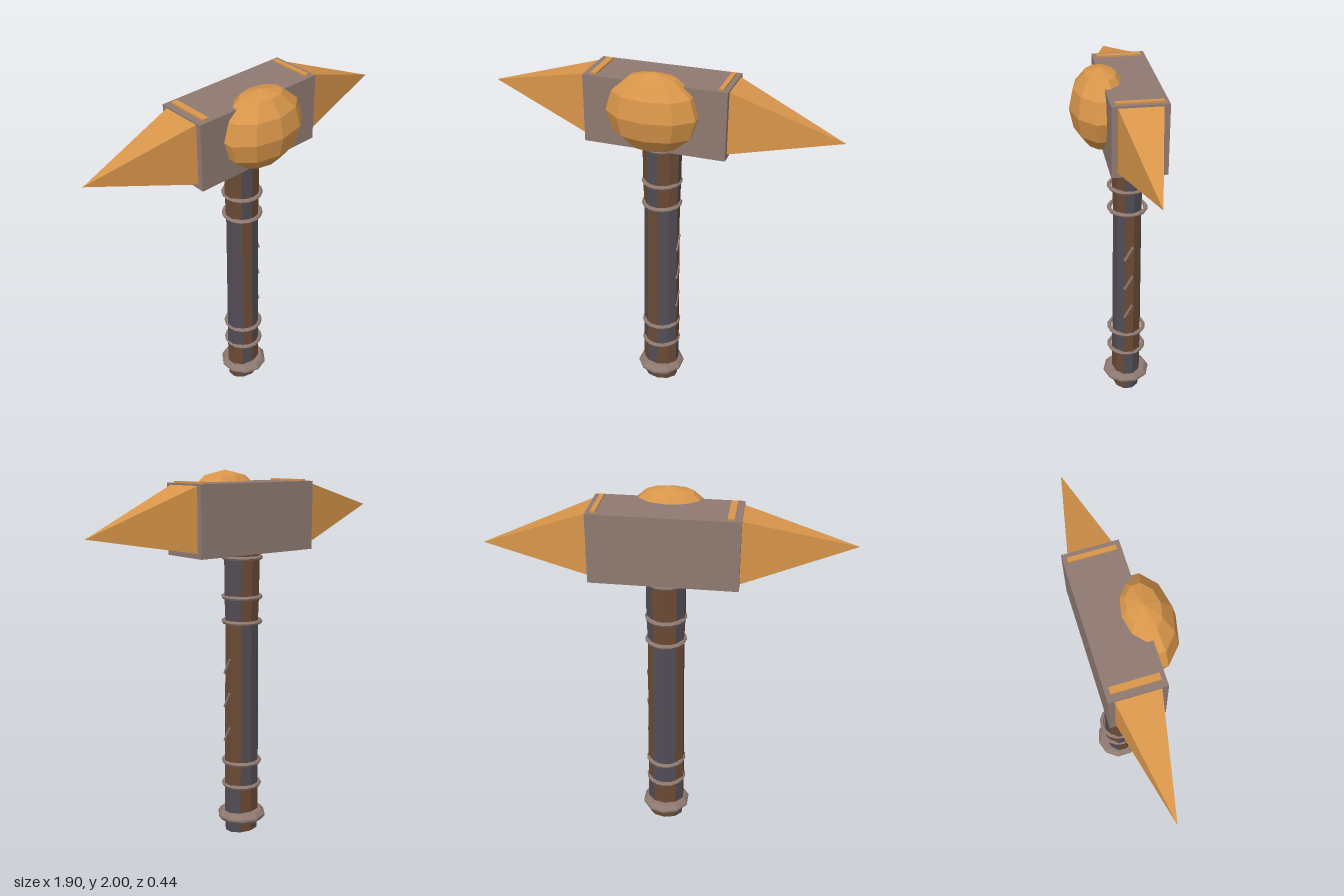
import * as THREE from 'three';

const mat = (name, color) => {
  const m = new THREE.MeshStandardMaterial({ color, flatShading: true });
  m.name = name;
  return m;
};

// Unindexed triangles from a list of points, three per face
function fromPoints(points) {
  const g = new THREE.BufferGeometry();
  g.setAttribute('position', new THREE.Float32BufferAttribute(points.flat(), 3));
  g.computeVertexNormals();
  return g;
}

export function createModel() {
  const gold = mat('amber', 0xd9964a);
  const stone = mat('greyBrown', 0x8f7a71);
  const brown = mat('brownWood', 0x6b4a35);
  const slate = mat('slateWood', 0x524d55);
  const Z = -0.083; // depth of the handle axis
  const model = new THREE.Group();
  model.name = 'hammer';

  const add = (name, geometry, material, x = 0, y = 0, z = 0) => {
    const mesh = new THREE.Mesh(geometry, material);
    mesh.name = name;
    mesh.position.set(x, y, z);
    model.add(mesh);
    return mesh;
  };

  // Head block
  add('headBlock', new THREE.BoxGeometry(0.76, 0.365, 0.28), stone, 0, 1.7575, -0.082);

  // Four-sided spikes, each with its own tip height
  for (const [side, tipY] of [[1, 1.7], [-1, 1.79]]) {
    const x = side * 0.375;
    const tip = [side * 0.95, tipY, -0.082];
    const base = [[x, 1.6, 0.028], [x, 1.6, -0.192], [x, 1.933, -0.192], [x, 1.933, 0.028]];
    const pts = [];
    base.forEach((p, i) => {
      const q = base[(i + 1) % 4];
      pts.push(...(side > 0 ? [p, q, tip] : [q, p, tip]));
    });
    add(side > 0 ? 'leftSpike' : 'rightSpike', fromPoints(pts), gold);
  }

  // Raised strips across the top of the block
  const strips = [[-0.328, 0.034], [0.342, 0.024]];
  for (const [x, w] of strips) {
    add('topStrip', new THREE.BoxGeometry(w, 0.02, 0.235), gold, x, 1.939, -0.082);
  }

  // Faceted boss on the front
  const boss = new THREE.SphereGeometry(1, 10, 6);
  boss.rotateY(Math.PI / 10);
  boss.scale(0.25, 0.21, 0.16);
  add('frontBoss', boss, gold, 0, 1.79, 0.06);

  // Ten-sided handle with planks that swap colour at the rings
  const rows = [[0, 0.1], [0.12, 0.106], [0.27, 0.106], [0.41, 0.105], [1.2, 0.1], [1.34, 0.106], [1.58, 0.107]];
  const corner = (i, [y, r]) => {
    const a = (i - 0.5) * Math.PI / 5;
    return [Math.cos(a) * r, y, Z + Math.sin(a) * r * 0.78];
  };
  const planks = { brown: [], slate: [] };
  for (let j = 0; j < rows.length - 1; j++) {
    const swap = rows[j][0] < 0.27 || rows[j][0] >= 1.2;
    for (let i = 0; i < 10; i++) {
      const a = corner(i, rows[j]), b = corner(i + 1, rows[j]);
      const c = corner(i + 1, rows[j + 1]), d = corner(i, rows[j + 1]);
      planks[(i % 3 === 0) !== swap ? 'brown' : 'slate'].push(a, c, b, a, d, c);
    }
  }
  add('brownPlanks', fromPoints(planks.brown), brown);
  add('slatePlanks', fromPoints(planks.slate), slate);
  const cap = new THREE.CircleGeometry(0.1, 10, Math.PI / 10);
  cap.rotateX(Math.PI / 2);
  cap.scale(1, 1, 0.78);
  add('handleEnd', cap, brown, 0, 0, Z);

  // Wire rings around the handle
  for (const y of [0.272, 0.407, 1.202, 1.337, 1.548]) {
    const ring = new THREE.TorusGeometry(0.1, 0.012, 6, 16);
    ring.rotateX(Math.PI / 2);
    add('handleRing', ring, stone, 0, y, Z);
  }

  // Bevelled pommel collar
  const profile = [[0.08, 0.058], [0.115, 0.058], [0.135, 0.08], [0.135, 0.093], [0.115, 0.117], [0.08, 0.117]];
  const collar = new THREE.LatheGeometry(profile.map(([r, y]) => new THREE.Vector2(r, y)), 10);
  add('pommelCollar', collar, stone, 0, 0, Z);

  // Three slanted notches on the left side of the handle
  for (const y of [0.575, 0.77, 0.96]) {
    const notch = add('sideNotch', new THREE.BoxGeometry(0.009, 0.095, 0.012), stone, 0.099, y, -0.078);
    notch.rotation.x = -0.5;
  }

  return model;
}
